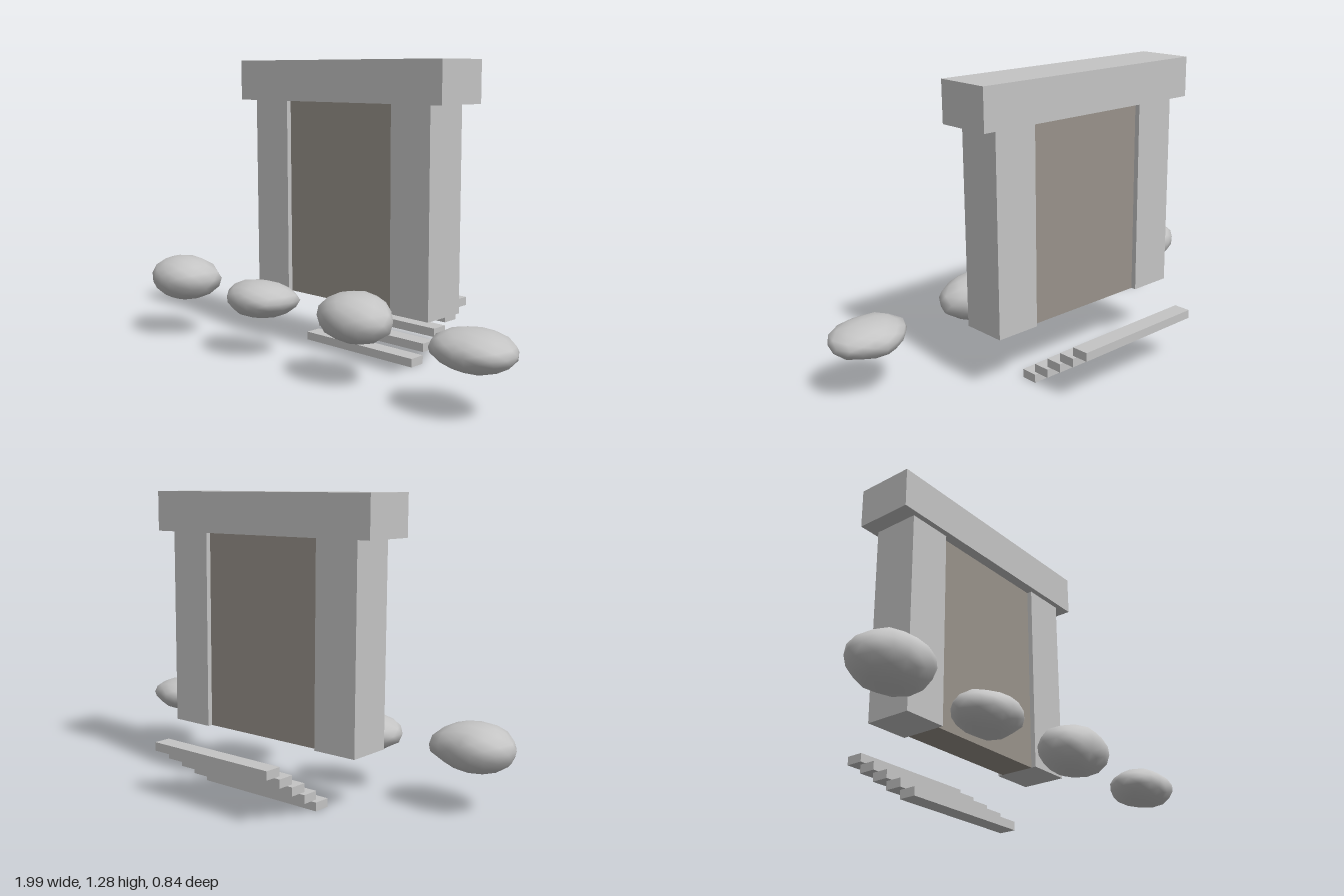
import * as THREE from 'three';
import { mergeVertices } from 'three/addons/utils/BufferGeometryUtils.js';

const stone = new THREE.MeshStandardMaterial({ color: 0xc4c4c4 });
stone.name = 'stone grey';
const panelStone = new THREE.MeshStandardMaterial({ color: 0x98928a });
panelStone.name = 'panel brown grey';

// Box given by its lower and upper limits on each axis
function block(name, material, [x0, x1], [y0, y1], [z0, z1]) {
  const mesh = new THREE.Mesh(new THREE.BoxGeometry(x1 - x0, y1 - y0, z1 - z0), material);
  mesh.position.set((x0 + x1) / 2, (y0 + y1) / 2, (z0 + z1) / 2);
  mesh.name = name;
  return mesh;
}

// Smooth boulder: a sphere stretched to an outline of 12 radii (every 30 degrees from +x towards +z)
function boulder({ x, z, y0, y1, outline }, seed) {
  let geo = new THREE.IcosahedronGeometry(1, 2);
  geo.deleteAttribute('normal');
  geo.deleteAttribute('uv');
  geo = mergeVertices(geo, 1e-4);
  const pos = geo.attributes.position;
  for (let i = 0; i < pos.count; i++) {
    const px = pos.getX(i), py = pos.getY(i), pz = pos.getZ(i);
    const turn = ((Math.atan2(pz, px) / (2 * Math.PI) + 1) % 1) * 12;
    const k = Math.floor(turn) % 12;
    const r = THREE.MathUtils.lerp(outline[k], outline[(k + 1) % 12], turn - Math.floor(turn));
    // lumps fade out at the widest ring, the underside is flattened
    const lump = 1 + 0.08 * Math.abs(py) * Math.sin(5 * px + 4 * pz + 3 * py + seed * 2.1);
    const h = Math.max(py, -0.93) / (py < 0 ? 0.93 : 1);
    pos.setXYZ(i, px * r * lump, h * (y1 - y0) / 2, pz * r * lump);
  }
  geo.computeVertexNormals();
  const mesh = new THREE.Mesh(geo, stone);
  mesh.position.set(x, (y0 + y1) / 2, z);
  mesh.name = 'boulder' + (seed + 1);
  return mesh;
}

export function createModel() {
  const model = new THREE.Group();
  model.name = 'stoneGateway';

  // Gateway: two pillars, a recessed slab and a lintel
  model.add(
    block('rightPillar', stone, [-0.53, -0.33], [0.253, 1.108], [-0.123, 0.078]),
    block('leftPillar', stone, [0.273, 0.473], [0.253, 1.108], [-0.123, 0.078]),
    block('doorPanel', panelStone, [-0.33, 0.273], [0.253, 1.108], [-0.1, 0.056]),
    block('lintel', stone, [-0.605, 0.547], [1.108, 1.283], [-0.148, 0.102])
  );

  // Floating steps rising to the back
  const steps = new THREE.Group();
  steps.name = 'steps';
  for (let i = 0; i < 5; i++) {
    const y = 0.0505 * i, z = -0.048 - 0.0755 * i;
    steps.add(block('step' + (i + 1), stone, [-0.342, 0.286], [y, y + 0.037], [z - 0.0755, z]));
  }
  model.add(steps);

  // Row of boulders in front
  const boulders = new THREE.Group();
  boulders.name = 'boulders';
  [
    { x: -0.83, z: 0.28, y0: 0.18, y1: 0.38,
      outline: [.172, .165, .148, .14, .146, .162, .172, .16, .148, .13, .135, .185] },
    { x: -0.305, z: 0.275, y0: 0.183, y1: 0.338,
      outline: [.165, .15, .13, .125, .132, .15, .175, .145, .128, .12, .145, .185] },
    { x: 0.273, z: 0.275, y0: 0.18, y1: 0.38,
      outline: [.18, .165, .138, .13, .138, .165, .18, .165, .145, .15, .138, .138] },
    { x: 0.83, z: 0.27, y0: 0.183, y1: 0.335,
      outline: [.178, .163, .133, .124, .133, .162, .175, .148, .142, .14, .138, .165] }
  ].forEach((rock, i) => boulders.add(boulder(rock, i)));
  model.add(boulders);

  return model;
}
